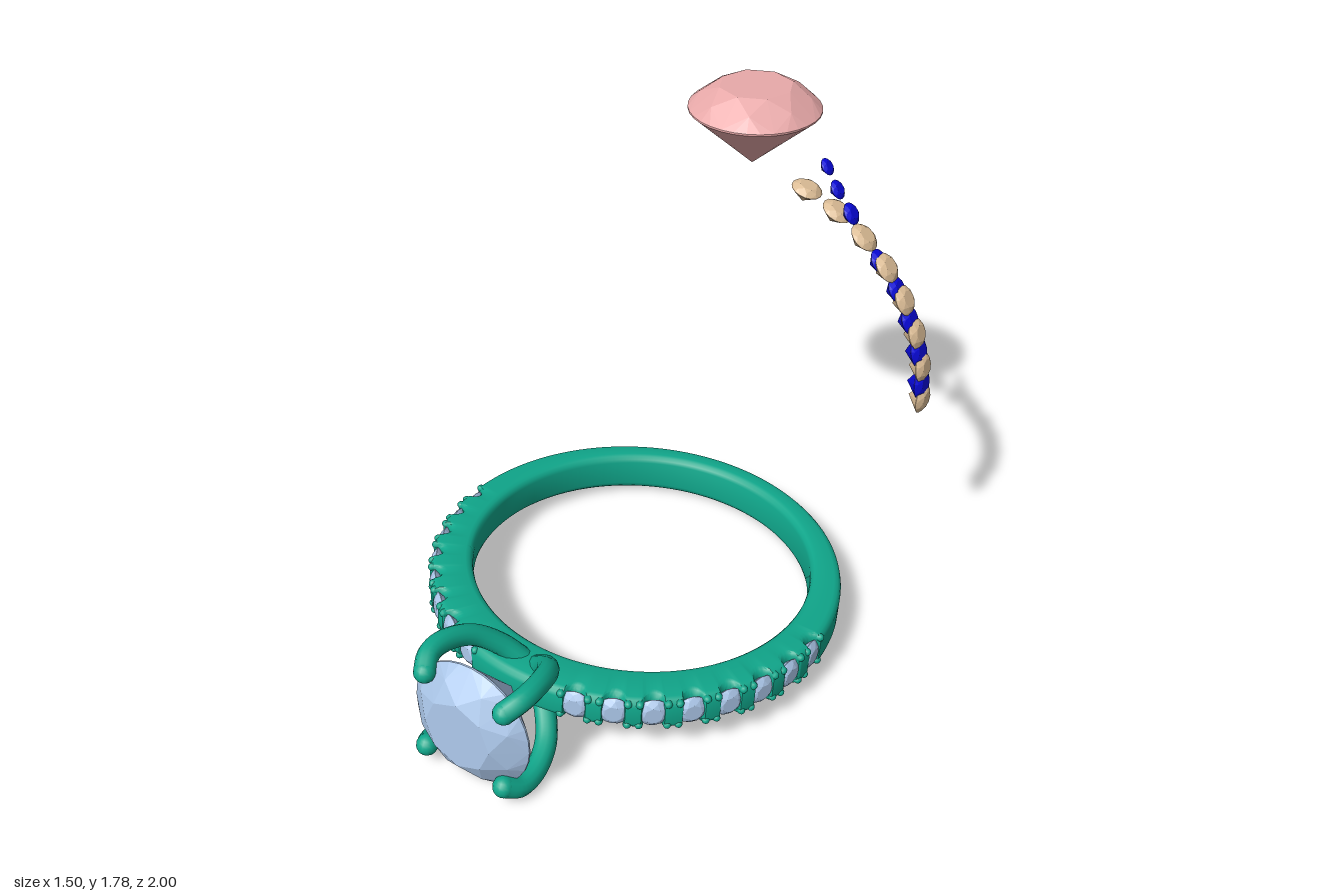
import * as THREE from 'three';
import { ConvexGeometry } from 'three/addons/geometries/ConvexGeometry.js';
import { toCreasedNormals } from 'three/addons/utils/BufferGeometryUtils.js';

const mat = (color, flatShading = false) => new THREE.MeshStandardMaterial({ color, flatShading });
const METAL = mat(0x10a88c);
const ICE = mat(0xa9c4e6, true);
const PINK = mat(0xe8a9a9, true);
const TAN = mat(0xdcbd96, true);
const BLUE = mat(0x0808d8, true);

const OUTER = 0.745, CENTRE_Z = -0.04, STEP = 10.15;
const rad = THREE.MathUtils.degToRad;
const stoneAngles = Array.from({ length: 8 }, (_, i) => rad(1.6 + i * STEP));

// Round brilliant cut: table, kite corners, thin girdle and culet (girdle at y = 0)
function gemGeometry(r, crown, depth, sides) {
  const pts = [new THREE.Vector3(0, -depth, 0)];
  const ring = (n, radius, y, turn = 0) => {
    for (let i = 0; i < n; i++) {
      const a = (i + turn) / n * Math.PI * 2;
      pts.push(new THREE.Vector3(radius * Math.cos(a), y, radius * Math.sin(a)));
    }
  };
  ring(8, r * 0.56, crown);
  ring(8, r * 0.82, crown * 0.56, 0.5);
  ring(sides, r, crown * 0.04);
  ring(sides, r, -crown * 0.04);
  return new ConvexGeometry(pts);
}

const UP = new THREE.Vector3(0, 1, 0);

// Places a gem with its girdle centre at pos and its table facing dir
function addGem(parent, name, geometry, material, pos, dir) {
  const gem = new THREE.Mesh(geometry, material);
  gem.name = name;
  gem.position.copy(pos);
  gem.quaternion.setFromUnitVectors(UP, dir);
  parent.add(gem);
}

// Band: rounded section swept round the finger, thicker at the front, notched under each small stone
function bandGeometry() {
  const N = 720, corner = 0.027, section = 16;
  const notches = [...stoneAngles, ...stoneAngles.map(a => Math.PI - a)];
  const positions = [], index = [];
  for (let i = 0; i < N; i++) {
    const t = i / N * Math.PI * 2, s = Math.sin(t);
    const half = 0.068 - 0.009 * s;
    const inner = 0.615 - 0.04 * s;
    let outer = OUTER;
    for (const a of notches) {
      const d = Math.abs(Math.atan2(Math.sin(t - a), Math.cos(t - a))) * OUTER;
      if (d < 0.036) outer = OUTER - Math.sqrt(0.036 ** 2 - d * d);
    }
    for (let j = 0; j < section; j++) {
      const q = Math.floor(j / 4), a = (q + (j % 4) / 3) * Math.PI / 2;
      const r = (q === 0 || q === 3 ? outer - corner : inner + corner) + corner * Math.cos(a);
      const y = (q < 2 ? 1 : -1) * (half - corner) + corner * Math.sin(a);
      positions.push(r * Math.cos(t), y, CENTRE_Z + r * s);
      const i2 = (i + 1) % N, j2 = (j + 1) % section;
      const A = i * section + j, B = i * section + j2, C = i2 * section + j, D = i2 * section + j2;
      index.push(A, B, C, B, D, C);
    }
  }
  const g = new THREE.BufferGeometry();
  g.setAttribute('position', new THREE.Float32BufferAttribute(positions, 3));
  g.setIndex(index);
  g.computeVertexNormals();
  return toCreasedNormals(g, 0.6);
}

// Claw: bent wire from the band to over the girdle, with a rounded tip
function addProng(parent, angle) {
  const profile = [[0.035, 0.6], [0.13, 0.645], [0.215, 0.72], [0.258, 0.82], [0.258, 0.9], [0.222, 0.952]];
  const path = new THREE.CatmullRomCurve3(profile.map(([r, z]) =>
    new THREE.Vector3(r * Math.cos(angle), r * Math.sin(angle), z)));
  const prong = new THREE.Group();
  prong.name = 'prong';
  prong.add(new THREE.Mesh(new THREE.TubeGeometry(path, 32, 0.037, 12), METAL));
  for (const u of [0, 1]) {
    const cap = new THREE.Mesh(new THREE.SphereGeometry(0.037, 14, 10), METAL);
    cap.position.copy(path.getPoint(u));
    prong.add(cap);
  }
  parent.add(prong);
}

export function createModel() {
  const model = new THREE.Group();
  model.name = 'ringWithLooseStones';

  // Ring, leaning slightly up towards the front
  const ring = new THREE.Group();
  ring.name = 'ring';
  ring.position.y = 0.153;
  ring.rotation.x = -0.087;
  model.add(ring);

  const band = new THREE.Mesh(bandGeometry(), METAL);
  band.name = 'band';
  ring.add(band);

  // Centre stone in four claws
  const mainGem = gemGeometry(0.228, 0.08, 0.205, 32);
  addGem(ring, 'centreStone', mainGem, ICE, new THREE.Vector3(0, 0, 0.912), new THREE.Vector3(0, 0, 1));
  for (let k = 0; k < 4; k++) addProng(ring, Math.PI / 4 + k * Math.PI / 2);

  // Small stones along both shoulders, with bead claws in the gaps
  const R = 0.055, crown = 0.019, seat = OUTER - crown;
  const smallGem = gemGeometry(R, crown, 0.05, 16);
  const bead = new THREE.CapsuleGeometry(0.014, 0.03, 4, 8);
  for (const side of [1, -1]) {
    const outward = a => new THREE.Vector3(side * Math.cos(a), 0, Math.sin(a));
    const onBand = (a, r, y) => outward(a).multiplyScalar(r).add(new THREE.Vector3(0, y, CENTRE_Z));
    for (const a of stoneAngles) {
      addGem(ring, 'shoulderStone', smallGem, ICE, onBand(a, seat, 0), outward(a));
      for (const da of [-1, 1]) for (const v of [-1, 1]) {
        const b = a + da * rad(3.6);
        const y = v * (0.05 - 0.008 * Math.sin(b));
        addGem(ring, 'beadClaw', bead, METAL, onBand(b, OUTER - 0.022, y), outward(b));
      }
    }
  }

  // Loose large stone floating above the back
  const BACK = -0.77;
  addGem(model, 'looseLargeStone', mainGem, PINK, new THREE.Vector3(0, 1.705, BACK), UP);

  // Arc of even loose stones
  const facing = a => new THREE.Vector3(Math.cos(a), Math.sin(a), 0);
  for (const a of stoneAngles)
    addGem(model, 'looseStone', smallGem, TAN,
      facing(a).multiplyScalar(seat).add(new THREE.Vector3(0, 0.765, BACK)), facing(a));

  // Graduated loose stones: x, y, radius, facing angle
  const graduated = [
    [0.285, 1.56, 0.031, 40], [0.33, 1.488, 0.035, 38], [0.388, 1.414, 0.04, 37], [0.507, 1.268, 0.044, 36],
    [0.582, 1.182, 0.048, 32], [0.642, 1.08, 0.052, 26], [0.688, 0.968, 0.055, 18], [0.714, 0.845, 0.057, 9],
  ];
  for (const [x, y, r, deg] of graduated)
    addGem(model, 'graduatedStone', gemGeometry(r, r * 0.35, r * 0.9, 16), BLUE,
      new THREE.Vector3(x, y, BACK), facing(rad(deg)));

  return model;
}
